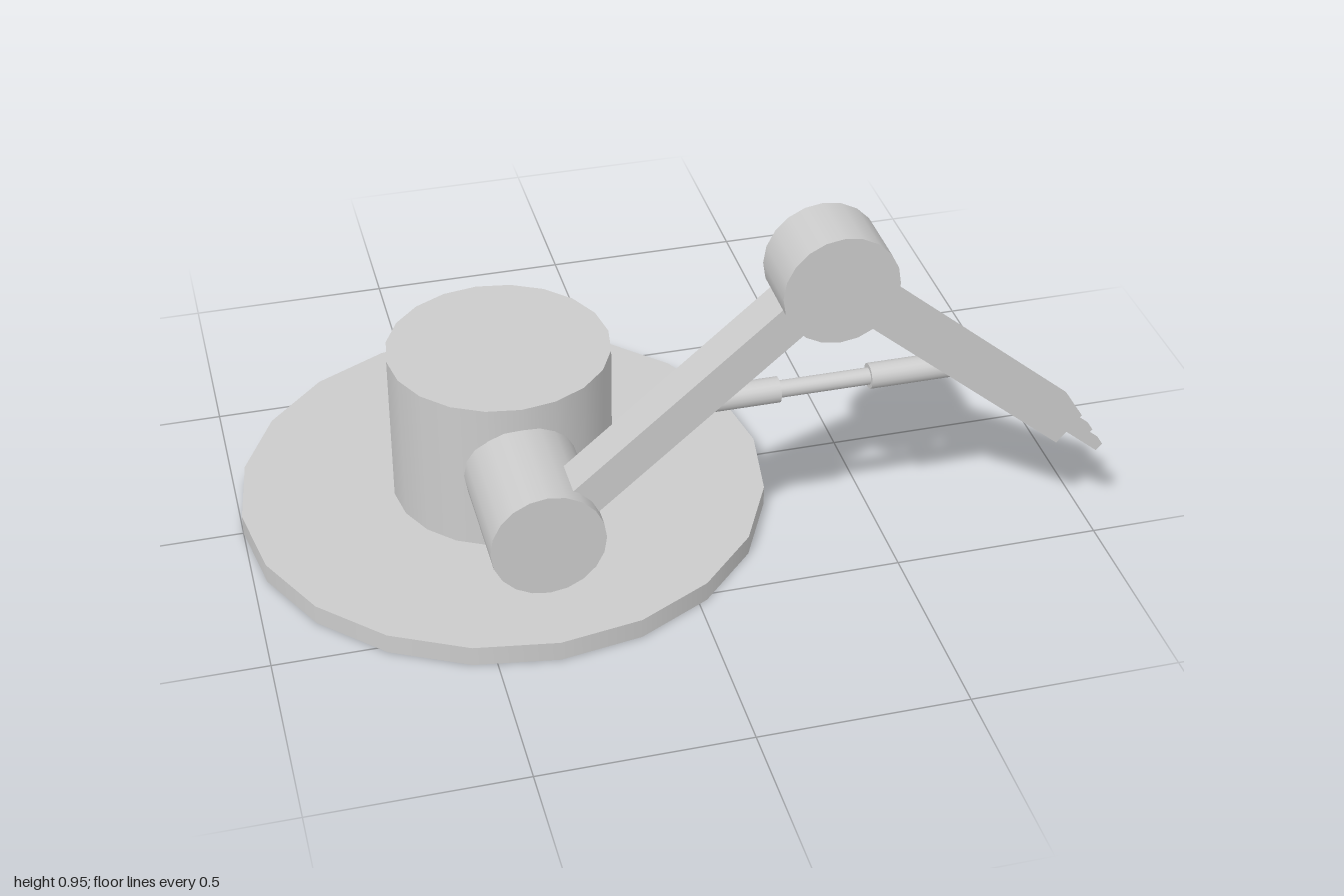
import * as THREE from 'three';

const BASE_X = -0.357;          // axis of the turntable
const ARM_Z = 0.452;            // plane the arm moves in
const SHOULDER = new THREE.Vector2(BASE_X, 0.247);
const ELBOW = new THREE.Vector2(0.315, 0.82);
const WRIST = new THREE.Vector2(0.905, 0.322);

export function createModel() {
  const model = new THREE.Group();
  model.name = 'robotArm';
  const material = new THREE.MeshStandardMaterial({ color: 0xcccccc });

  const add = (name, geometry, x, y, z, parent = model) => {
    const mesh = new THREE.Mesh(geometry, material);
    mesh.name = name;
    mesh.position.set(x, y, z);
    parent.add(mesh);
    return mesh;
  };
  const cylinder = (radius, length) => new THREE.CylinderGeometry(radius, radius, length, 20);

  // Turntable
  add('basePlate', cylinder(0.643, 0.05), BASE_X, 0.025, 0);
  add('baseDrum', cylinder(0.27, 0.39), BASE_X, 0.245, 0);

  // Joints, with their axes along z
  add('shoulderJoint', cylinder(0.135, 0.437).rotateX(Math.PI / 2), SHOULDER.x, SHOULDER.y, 0.3185);
  add('elbowJoint', cylinder(0.135, 0.157).rotateX(Math.PI / 2), ELBOW.x, ELBOW.y, ARM_Z);

  // Square links between the joints
  const link = (name, from, to) => {
    const dir = to.clone().sub(from);
    const mid = from.clone().add(to).multiplyScalar(0.5);
    const mesh = add(name, new THREE.BoxGeometry(dir.length(), 0.09, 0.098), mid.x, mid.y, ARM_Z);
    mesh.rotation.z = dir.angle();
  };
  link('upperArm', SHOULDER, ELBOW);
  link('forearm', ELBOW, WRIST);

  // Piston bracing the two links: two sleeves and a thinner rod
  const pistonParts = [
    ['pistonSleeveRight', -0.03, 0.2, 0.03],
    ['pistonRod', 0.19, 0.425, 0.02],
    ['pistonSleeveLeft', 0.415, 0.66, 0.03],
  ];
  for (const [name, x0, x1, radius] of pistonParts) {
    add(name, cylinder(radius, x1 - x0).rotateZ(Math.PI / 2), (x0 + x1) / 2, 0.525, ARM_Z);
  }

  // Gripper: a flat fork continuing the forearm
  const gripper = new THREE.Group();
  gripper.name = 'gripper';
  gripper.position.set(WRIST.x, WRIST.y, 0.45);
  gripper.rotation.z = WRIST.clone().sub(ELBOW).angle();
  model.add(gripper);
  const fork = new THREE.Shape([
    [-0.01, -0.045], [0.112, -0.045], [0.112, -0.015], [0.03, -0.015],
    [0.03, 0.015], [0.112, 0.015], [0.112, 0.045], [-0.01, 0.045],
  ].map(([x, y]) => new THREE.Vector2(x, y)));
  const forkGeometry = new THREE.ExtrudeGeometry(fork, { depth: 0.022, bevelEnabled: false });
  forkGeometry.translate(0, 0, -0.011).rotateX(Math.PI / 2);
  add('gripperFork', forkGeometry, 0, 0, 0, gripper);

  return model;
}
